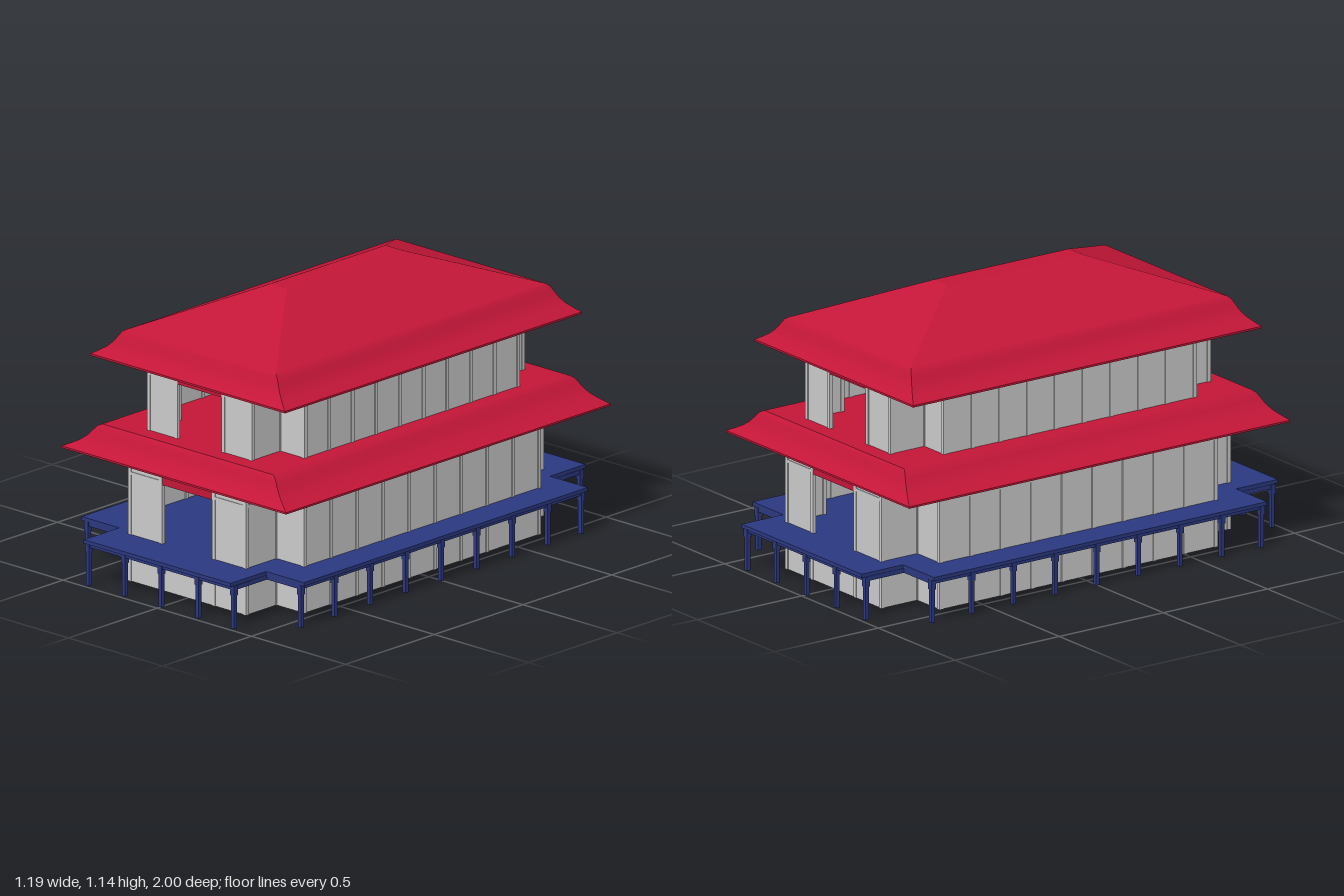
import * as THREE from 'three';

const grey = new THREE.MeshStandardMaterial({ color: 0xcccccc });
const red = new THREE.MeshStandardMaterial({ color: 0xc41638, side: THREE.DoubleSide });
const blue = new THREE.MeshStandardMaterial({ color: 0x2b3880 });

function box(parent, name, mat, w, h, d, x, y, z) {
  const m = new THREE.Mesh(new THREE.BoxGeometry(w, h, d), mat);
  m.position.set(x, y, z);
  m.name = name;
  parent.add(m);
  return m;
}

// Four-sided roof skin through rectangles [halfX, halfZ, y]; corners stay sharp, profile is smooth
function roofSkin(rings) {
  const pos = [], idx = [];
  const corners = [[1, 1], [1, -1], [-1, -1], [-1, 1]];
  for (let s = 0; s < 4; s++) {
    const a = corners[s], b = corners[(s + 1) % 4], base = pos.length / 3;
    rings.forEach(([hx, hz, y], i) => {
      pos.push(a[0] * hx, y, a[1] * hz, b[0] * hx, y, b[1] * hz);
      if (i > 0) {
        const k = base + 2 * i;
        idx.push(k - 2, k - 1, k + 1, k - 2, k + 1, k);
      }
    });
  }
  const g = new THREE.BufferGeometry();
  g.setAttribute('position', new THREE.Float32BufferAttribute(pos, 3));
  g.setIndex(idx);
  g.computeVertexNormals();
  return new THREE.Mesh(g, red);
}

// Flared eaves: [share of the way out, share of the height]
const FLARE = [[1, 0.07], [0.78, 0.2], [0.55, 0.36], [0.37, 0.54], [0.24, 0.74], [0.12, 0.92], [0, 1]];

function eaves(parent, name, outer, inner, y0, y1) {
  const mix = (t, h) => [
    inner[0] + (outer[0] - inner[0]) * t,
    inner[1] + (outer[1] - inner[1]) * t,
    y0 + (y1 - y0) * h];
  const skin = roofSkin(FLARE.map(([t, h]) => mix(t, h)));
  skin.name = name;
  const lip = roofSkin([mix(1, 0), mix(1, 0.07)]);
  lip.name = name + 'Lip';
  parent.add(skin, lip);
}

// Straight wall panel with studs and horizontal rails standing slightly proud
function wallRun(parent, [x0, z0], [x1, z1], y0, y1, bays, rails) {
  const g = new THREE.Group();
  g.name = 'wallRun';
  const len = Math.hypot(x1 - x0, z1 - z0), h = y1 - y0;
  box(g, 'wallPanel', grey, len, h, 0.008, 0, h / 2, 0);
  for (let i = 0; i <= bays; i++) {
    box(g, 'stud', grey, 0.016, h, 0.016, -len / 2 + (len * i) / bays, h / 2, 0);
  }
  for (const y of rails) box(g, 'rail', grey, len, 0.012, 0.014, 0, y - y0, 0);
  g.position.set((x0 + x1) / 2, y0, (z0 + z1) / 2);
  g.rotation.y = Math.atan2(-(z1 - z0), x1 - x0);
  parent.add(g);
}

// Storey walls with notched corners and an open doorway at both ends
function storeyWalls(parent, name, p) {
  const g = new THREE.Group();
  g.name = name;
  const { X, Z, nx, nz, door, y0, y1, rails } = p;
  for (const s of [1, -1]) {
    const path = [[door, Z], [nx, Z], [nx, nz], [X, nz], [X, -nz], [nx, -nz], [nx, -Z], [door, -Z]];
    const pts = path.map(([x, z]) => [x * s, z]);
    for (let i = 0; i < 7; i++) {
      wallRun(g, pts[i], pts[i + 1], y0, y1, i === 3 ? 9 : 1, rails);
    }
  }
  // Red lintels over the doorways
  for (const s of [1, -1]) {
    box(g, 'lintel', red, door * 2, p.lintelTop - p.lintel, 0.012, 0, (p.lintel + p.lintelTop) / 2, s * Z);
  }
  parent.add(g);
  return g;
}

export function createModel() {
  const model = new THREE.Group();
  model.name = 'pavilion';

  // Cross-shaped deck
  const deck = new THREE.Group();
  deck.name = 'deck';
  const A = 0.59, B = 0.39, C = 0.8, D = 1;
  const plan = [[B, D], [B, C], [A, C], [A, -C], [B, -C], [B, -D], [-B, -D], [-B, -C], [-A, -C], [-A, C], [-B, C], [-B, D]];
  const slabGeo = new THREE.ExtrudeGeometry(
    new THREE.Shape(plan.map(([x, z]) => new THREE.Vector2(x, z))), { depth: 0.015, bevelEnabled: false });
  slabGeo.rotateX(Math.PI / 2);
  const slab = new THREE.Mesh(slabGeo, blue);
  slab.name = 'deckSlab';
  slab.position.y = 0.19;
  deck.add(slab);

  // Deck posts and edge beams
  const post = (x, z) => {
    box(deck, 'post', blue, 0.016, 0.175, 0.016, x, 0.0875, z);
    box(deck, 'postHead', blue, 0.022, 0.04, 0.022, x, 0.155, z);
  };
  for (const s of [1, -1]) {
    for (const z of [-0.79, -0.6, -0.4, -0.2, 0, 0.2, 0.4, 0.6, 0.79]) post(s * 0.565, z);
    for (const x of [-0.385, -0.195, 0, 0.195, 0.385]) post(x, s * 0.975);
    box(deck, 'sideBeam', blue, 0.014, 0.018, 1.58, s * 0.565, 0.166, 0);
    box(deck, 'endBeam', blue, 0.77, 0.018, 0.014, 0, 0.166, s * 0.975);
    for (const t of [1, -1]) {
      box(deck, 'notchBeam', blue, 0.18, 0.018, 0.014, s * 0.475, 0.166, t * 0.79);
      box(deck, 'notchBeam', blue, 0.014, 0.018, 0.185, s * 0.385, 0.166, t * 0.8825);
    }
  }
  model.add(deck);

  // Everything above the deck
  const house = new THREE.Group();
  house.name = 'house';
  house.position.z = -0.008;
  model.add(house);

  const lower = storeyWalls(house, 'lowerWalls', {
    X: 0.452, Z: 0.832, nx: 0.305, nz: 0.66, door: 0.14,
    y0: 0, y1: 0.56, rails: [0.44, 0.495], lintel: 0.43, lintelTop: 0.56 });
  // Foundation closing the doorways under the deck
  for (const s of [1, -1]) {
    wallRun(lower, [-0.14, s * 0.832], [0.14, s * 0.832], 0, 0.18, 1, []);
  }
  storeyWalls(house, 'upperWalls', {
    X: 0.397, Z: 0.762, nx: 0.27, nz: 0.6, door: 0.125,
    y0: 0.6, y1: 0.92, rails: [0.838, 0.868], lintel: 0.827, lintelTop: 0.92 });

  // Screen standing in the middle of the hall
  box(house, 'hallScreen', grey, 0.2, 0.345, 0.008, -0.005, 0.1825, 0.008);

  // Lower roof: flared skirt with a flat top
  eaves(house, 'lowerRoof', [0.597, 0.915], [0.455, 0.835], 0.495, 0.605);
  box(house, 'lowerRoofTop', red, 0.91, 0.004, 1.67, 0, 0.603, 0);

  // Upper roof: flared skirt, hipped slopes and narrow flat ridge
  eaves(house, 'upperRoof', [0.517, 0.837], [0.397, 0.76], 0.87, 0.985);
  const hip = roofSkin([[0.397, 0.76, 0.985], [0.045, 0.325, 1.145]]);
  hip.name = 'upperRoofHip';
  house.add(hip);
  box(house, 'ridge', red, 0.09, 0.004, 0.65, 0, 1.143, 0);

  return model;
}
